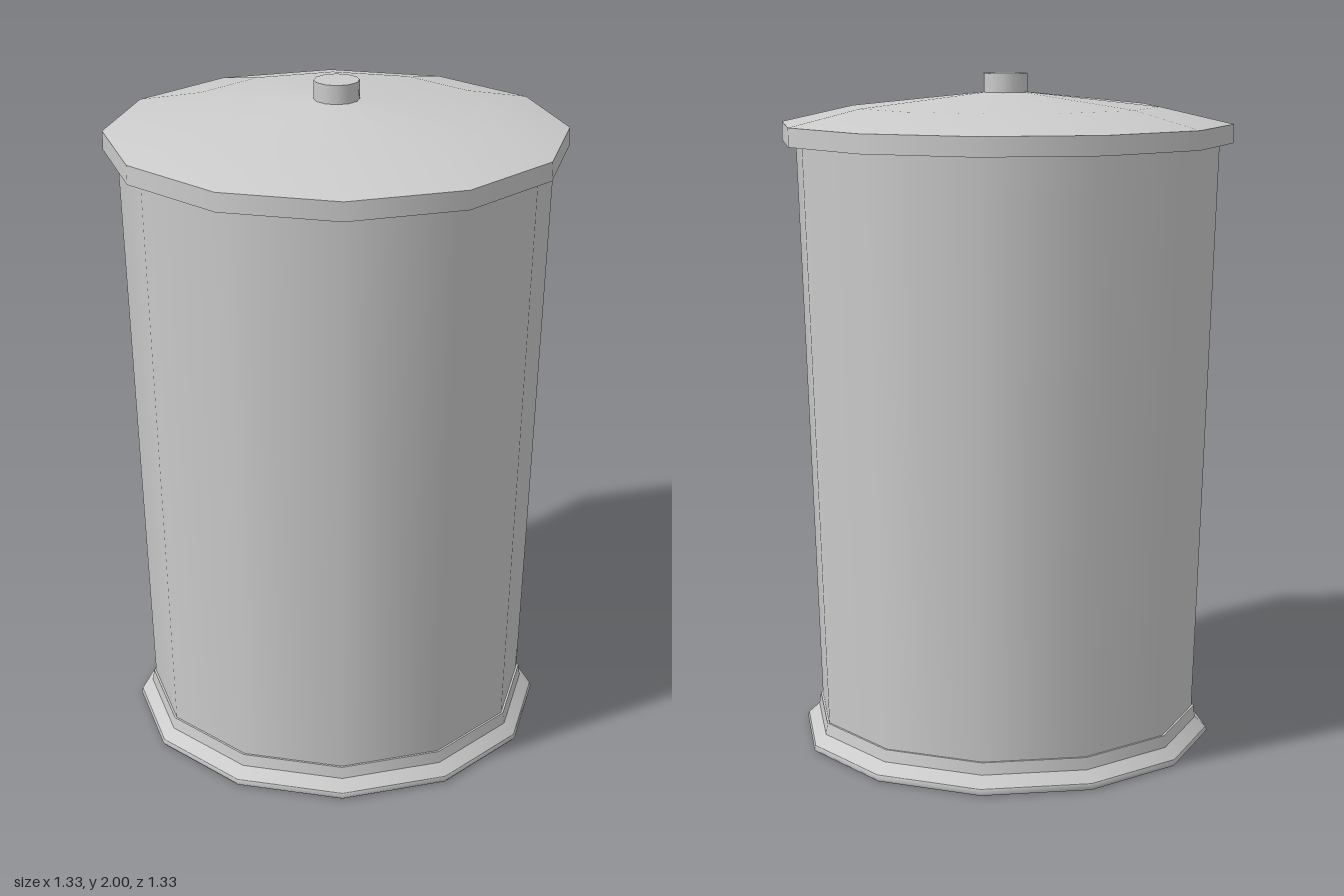
import * as THREE from 'three';

const SIDES = 12;
const TURN = THREE.MathUtils.degToRad(7.8); // slight twist of the twelve-sided outline

const metal = new THREE.MeshStandardMaterial({ color: 0xcccccc, side: THREE.DoubleSide });

// One smooth surface of revolution; separate bands keep a sharp edge between them.
function band(name, profile) {
  const points = profile.map(([r, y]) => new THREE.Vector2(r, y));
  const mesh = new THREE.Mesh(new THREE.LatheGeometry(points, SIDES, TURN), metal);
  mesh.name = name;
  return mesh;
}

function part(name, ...bands) {
  const group = new THREE.Group();
  group.name = name;
  group.add(...bands);
  return group;
}

export function createModel() {
  const bin = new THREE.Group();
  bin.name = 'dustbin';

  // Flared foot ring, open in the middle
  bin.add(part('foot',
    band('footUnderside', [[0.575, 0], [0.615, 0]]),
    band('footEdge', [[0.615, 0], [0.622, 0.008], [0.618, 0.02]]),
    band('footSlope', [[0.618, 0.02], [0.585, 0.05]]),
    band('footCollar', [[0.585, 0.05], [0.58, 0.085]]),
    band('footCollarTop', [[0.58, 0.085], [0.573, 0.085]]),
  ));

  // Tapered wall, open at the bottom
  bin.add(band('body', [[0.571, 0], [0.63, 1.82]]));

  // Shallow domed lid with an upright rim
  bin.add(part('lid',
    band('lidUnderside', [[0.625, 1.8], [0.67, 1.8]]),
    band('lidRim', [[0.67, 1.8], [0.67, 1.855]]),
    band('lidTop', [[0.67, 1.855], [0.455, 1.904], [0.066, 1.945], [0, 1.948]]),
  ));

  // Round knob
  bin.add(part('knob',
    band('knobSide', [[0.066, 1.94], [0.066, 2]]),
    band('knobTop', [[0.066, 2], [0, 2]]),
  ));

  return bin;
}
